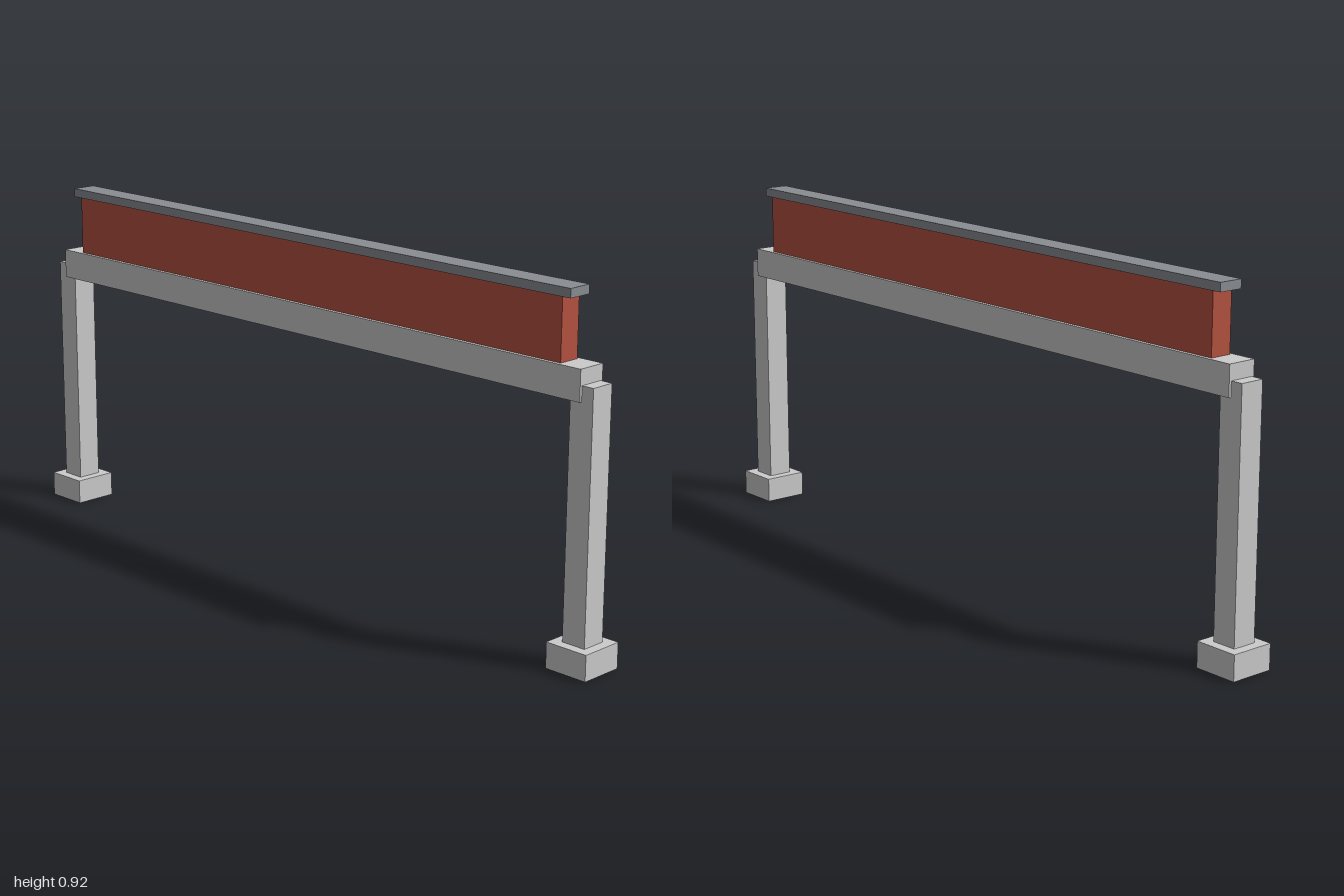
import * as THREE from 'three';

const grey = new THREE.MeshStandardMaterial({ color: 0xcccccc });
const brick = new THREE.MeshStandardMaterial({ color: 0xb5523f });
const dark = new THREE.MeshStandardMaterial({ color: 0x8a8d92 });

// Box from its width, its bottom and top heights, its length and its z centre
function block(name, width, y0, y1, length, z, material) {
  const mesh = new THREE.Mesh(new THREE.BoxGeometry(width, y1 - y0, length), material);
  mesh.position.set(0, (y0 + y1) / 2, z);
  mesh.name = name;
  return mesh;
}

export function createModel() {
  const model = new THREE.Group();
  model.name = 'beamAndWall';

  // Footing and column at each end
  for (const side of [1, -1]) {
    const support = new THREE.Group();
    support.name = side > 0 ? 'frontSupport' : 'backSupport';
    support.add(
      block('footing', 0.12, 0, 0.067, 0.12, side * 0.94, grey),
      block('column', 0.067, 0.067, 0.7, 0.067, side * 0.94, grey)
    );
    model.add(support);
  }

  // Beam, wall panel and coping
  model.add(
    block('beam', 0.08, 0.661, 0.74, 1.88, 0, grey),
    block('wallPanel', 0.06, 0.74, 0.896, 1.745, 0, brick),
    block('coping', 0.067, 0.897, 0.92, 1.797, 0, dark)
  );
  return model;
}
